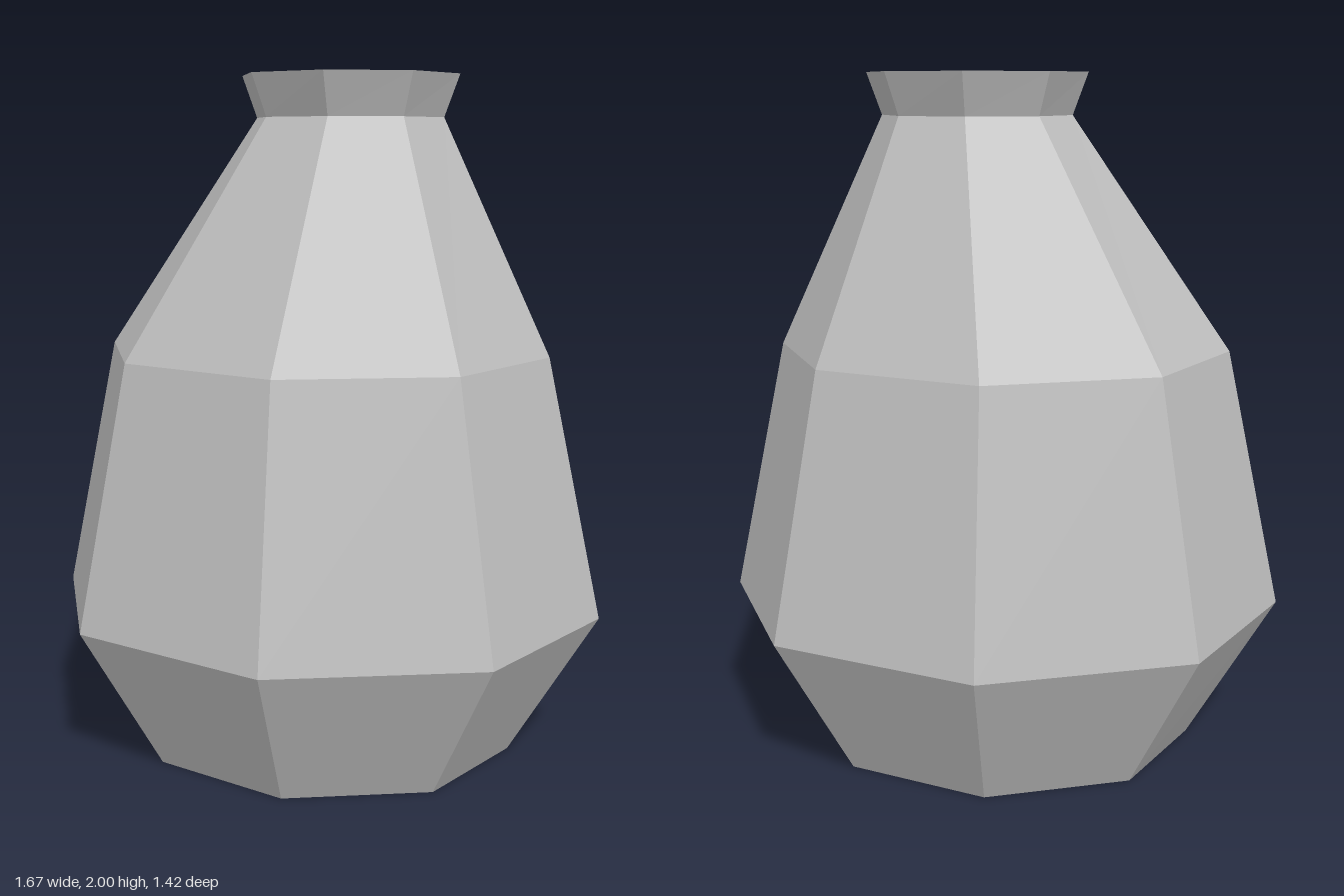
import * as THREE from 'three';

const SIDES = 8;

// Octagonal ring: [centre x, height, x radius, z radius]
function ringPoint([cx, y, rx, rz], i) {
  const a = (i % SIDES) * Math.PI * 2 / SIDES;
  return [cx + rx * Math.cos(a), y, rz * Math.sin(a)];
}

// Skin successive rings with flat faces; a zero-radius ring closes an end
function loft(name, rings, material) {
  const positions = [];
  for (let r = 0; r < rings.length - 1; r++) {
    const lower = rings[r], upper = rings[r + 1];
    for (let i = 0; i < SIDES; i++) {
      const a = ringPoint(lower, i), b = ringPoint(lower, i + 1);
      const c = ringPoint(upper, i), d = ringPoint(upper, i + 1);
      if (lower[2] > 0) positions.push(...b, ...a, ...c);
      if (upper[2] > 0) positions.push(...b, ...c, ...d);
    }
  }
  const geometry = new THREE.BufferGeometry();
  geometry.setAttribute('position', new THREE.Float32BufferAttribute(positions, 3));
  geometry.computeVertexNormals();
  const mesh = new THREE.Mesh(geometry, material);
  mesh.name = name;
  return mesh;
}

export function createModel() {
  const group = new THREE.Group();
  group.name = 'vase';
  const clay = new THREE.MeshStandardMaterial({ color: 0xc0c0c0 });
  clay.name = 'grey clay';

  const foot = [0, 0, 0.575, 0.492];
  const belly = [0, 0.435, 0.834, 0.708];
  const shoulder = [0, 1.205, 0.667, 0.568];
  const neck = [0.075, 1.88, 0.276, 0.257];
  const lip = [0.075, 2, 0.32, 0.306];
  const mouth = [0.075, 2, 0.214, 0.197];
  const wellFloor = [0.075, 1.6, 0.214, 0.197];

  group.add(
    loft('base', [[0, 0, 0, 0], foot], clay),
    loft('body', [foot, belly, shoulder, neck], clay),
    loft('collar', [neck, lip], clay),
    loft('rim', [lip, mouth], clay),
    // Straight-sided opening with a flat floor
    loft('opening', [mouth, wellFloor, [0.075, 1.6, 0, 0]], clay),
  );
  return group;
}
